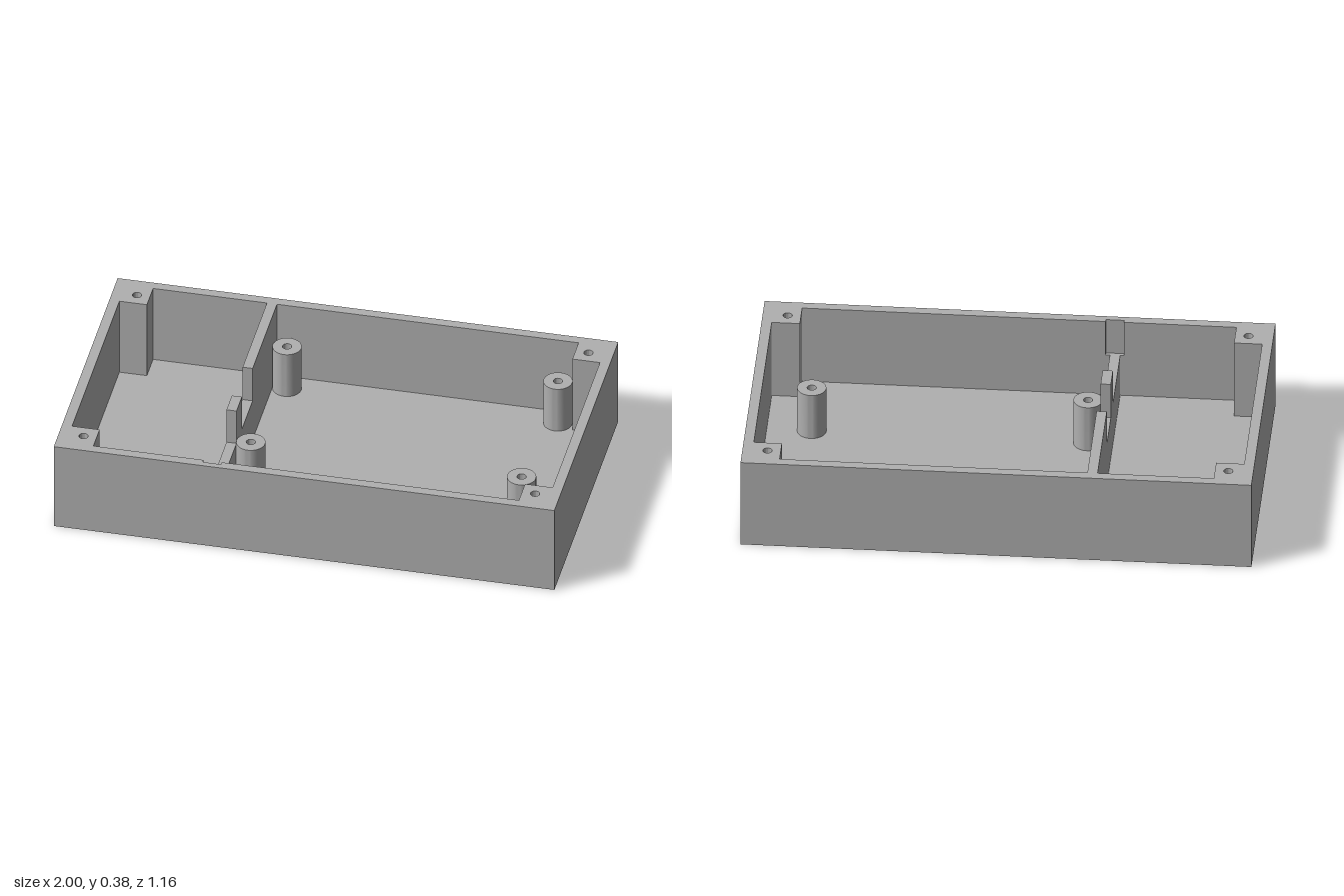
import * as THREE from 'three';
import { toCreasedNormals } from 'three/addons/utils/BufferGeometryUtils.js';

const W = 1, D = 0.58, H = 0.38, FLOOR = 0.04; // half width, half depth, height, floor thickness
const IX = 0.96, IZ = 0.542;                   // inner wall faces
const PX = 0.85, PZ = 0.43;                    // inner corners of the screw posts
const LOW = 0.225;                             // lowered divider and notch level
const DIV = [-0.395, -0.355];                  // divider sides

const polygon = (points, Type = THREE.Shape) =>
  new Type(points.map(([x, y]) => new THREE.Vector2(x, y)));

function circleHole(x, y, r) {
  const path = new THREE.Path();
  path.absarc(x, y, r, 0, Math.PI * 2, true);
  return path;
}

// Extrudes a plan drawn in (x, -z) upwards from y0 to y1
function extrudeUp(shape, y0, y1) {
  const geo = new THREE.ExtrudeGeometry(shape, { depth: y1 - y0, bevelEnabled: false, curveSegments: 24 });
  geo.rotateX(-Math.PI / 2).translate(0, y0, 0);
  return toCreasedNormals(geo, 0.6);
}

// Wall plan with corner screw posts, optionally with the notch in the front wall
function wallPlan(notched) {
  const shape = polygon([[-W, -D], [W, -D], [W, D], [-W, D]]);
  const notch = notched ? [[-0.41, -IZ], [-0.41, -0.556], [-0.338, -0.556], [-0.338, -IZ]] : [];
  shape.holes.push(polygon([
    [-PX, -IZ], ...notch, [PX, -IZ], [PX, -PZ], [IX, -PZ],
    [IX, PZ], [PX, PZ], [PX, IZ], [-PX, IZ],
    [-PX, PZ], [-IX, PZ], [-IX, -PZ], [-PX, -PZ],
  ], THREE.Path));
  for (const x of [-0.902, 0.902])
    for (const z of [-0.485, 0.485]) shape.holes.push(circleHole(x, z, 0.018));
  return shape;
}

export function createModel() {
  const model = new THREE.Group();
  model.name = 'enclosure';
  const grey = new THREE.MeshStandardMaterial({ color: 0xb0b0b0 });
  grey.name = 'grey plastic';

  const add = (name, geometry, x = 0, y = 0, z = 0) => {
    const mesh = new THREE.Mesh(geometry, grey);
    mesh.name = name;
    mesh.position.set(x, y, z);
    model.add(mesh);
  };

  // Tray
  add('floor', new THREE.BoxGeometry(2 * W, FLOOR, 2 * D), 0, FLOOR / 2, 0);
  add('lowerWalls', extrudeUp(wallPlan(false), FLOOR, LOW));
  add('upperWalls', extrudeUp(wallPlan(true), LOW, H));

  // Stepped divider, profile drawn in (z, y)
  const profile = polygon([
    [-IZ, FLOOR], [IZ, FLOOR], [IZ, LOW], [0.193, LOW], [0.193, H],
    [0.095, H], [0.095, LOW], [-0.1, LOW], [-0.1, H], [-IZ, H],
  ]);
  const divider = new THREE.ExtrudeGeometry(profile, { depth: DIV[1] - DIV[0], bevelEnabled: false });
  divider.rotateY(-Math.PI / 2);
  add('divider', divider, DIV[1], 0, 0);

  // Hollow board standoffs
  const ring = new THREE.Shape().absarc(0, 0, 0.057, 0, Math.PI * 2, false);
  ring.holes.push(circleHole(0, 0, 0.018));
  const standoff = extrudeUp(ring, FLOOR, 0.24);
  for (const x of [-0.298, 0.784])
    for (const z of [-0.466, 0.192]) add('standoff', standoff, x, 0, z);

  return model;
}
